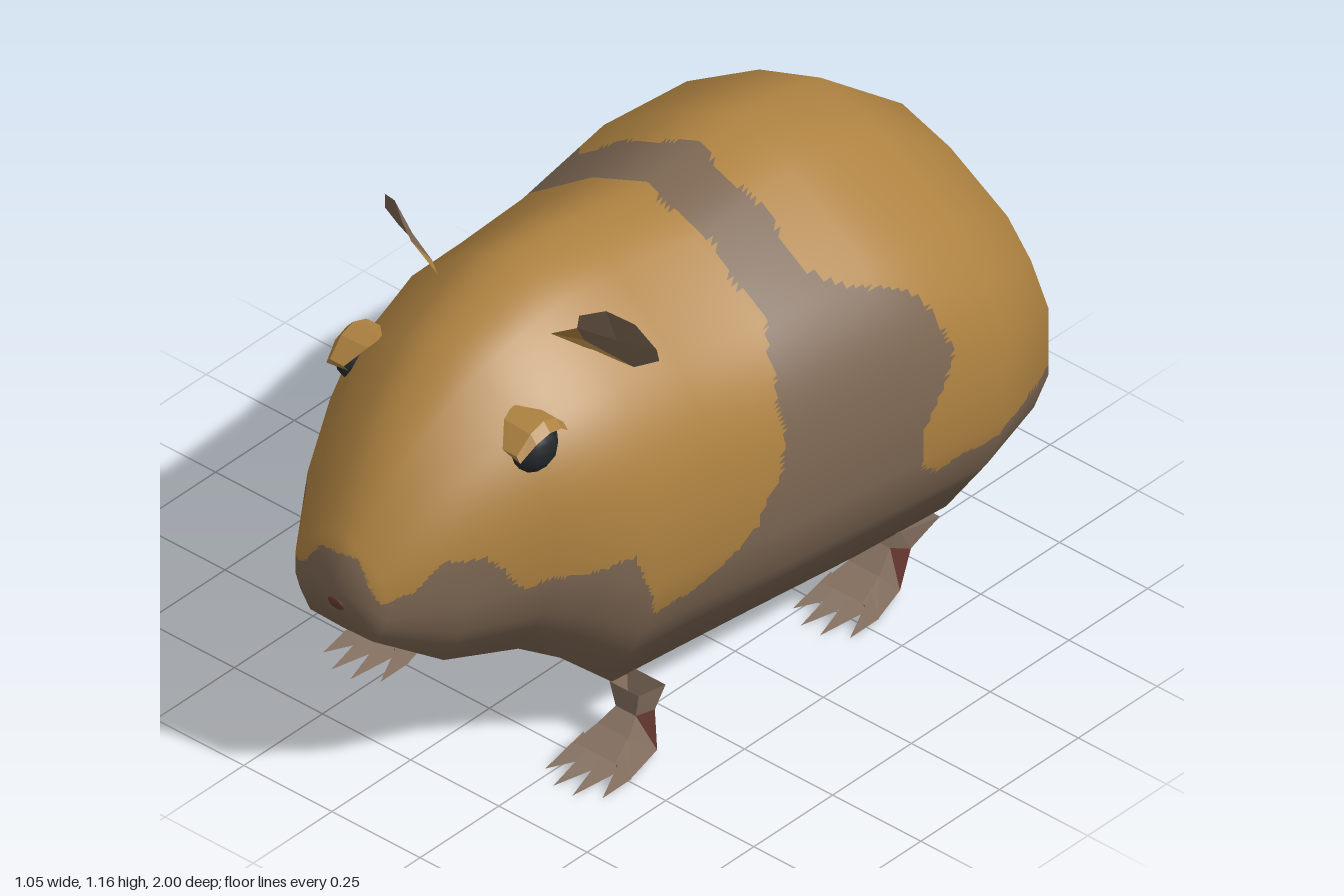
import * as THREE from 'three';

const material = (name, color, side = THREE.FrontSide) => {
  const m = new THREE.MeshStandardMaterial({ color, side });
  m.name = name;
  return m;
};

// piecewise linear lookup in a list of [key, value]
function lookup(table, k) {
  if (k <= table[0][0]) return table[0][1];
  for (let i = 1; i < table.length; i++) {
    const [k0, v0] = table[i - 1], [k1, v1] = table[i];
    if (k <= k1) return v0 + (v1 - v0) * (k - k0) / (k1 - k0);
  }
  return table[table.length - 1][1];
}

// body stations: z, top, bottom, half width
const STATIONS = [
  [1.0, 0.59, 0.59, 0], [0.97, 0.71, 0.47, 0.13], [0.82, 0.93, 0.37, 0.23],
  [0.65, 1.06, 0.335, 0.318], [0.55, 1.1, 0.27, 0.36], [0.42, 1.147, 0.15, 0.405],
  [0.25, 1.14, 0.14, 0.418], [0.02, 1.105, 0.145, 0.465], [-0.27, 1.135, 0.135, 0.505],
  [-0.55, 1.083, 0.125, 0.525], [-0.81, 0.875, 0.123, 0.415], [-0.95, 0.64, 0.21, 0.2],
  [-1.0, 0.38, 0.38, 0],
];
// half cross-section from spine to belly: width fraction, height fraction
const SECTION = [[0, 1], [0.33, 0.935], [0.72, 0.8], [0.88, 0.69], [1, 0.555],
  [1, 0.325], [0.9, 0.185], [0.68, 0.012], [0, 0]];
// coat pattern: belly line y(z), muzzle line y(|x|), back and front edge z(y) of the saddle band
const BELLY = [[-1, 0.37], [-0.8, 0.395], [-0.6, 0.41], [-0.45, 0.4], [-0.3, 0.385], [0.4, 0.385],
  [0.44, 0.48], [0.47, 0.56], [0.66, 0.57], [0.71, 0.56], [0.75, 0.63], [0.79, 0.67], [0.86, 0.67],
  [0.9, 0.63], [0.93, 0.6]];
const MUZZLE = [[0.05, 0.665], [0.085, 0.62], [0.115, 0.585], [0.15, 0.61]];
const BAND_BACK = [[0.38, -0.37], [0.42, -0.33], [0.47, -0.31], [0.53, -0.32], [0.6, -0.35],
  [0.68, -0.4], [0.77, -0.4], [0.85, -0.34], [0.91, -0.2], [0.95, -0.15], [1.15, -0.16]];
const BAND_FRONT = [[0.38, 0.32], [0.42, 0.22], [0.5, 0.14], [0.6, 0.09], [0.75, 0.06],
  [0.85, 0.03], [0.95, 0], [1.15, 0]];

function isPatch(p) {
  const wobble = 0.005 * Math.sin(p.z * 45 + p.x * 30) + 0.004 * Math.sin(p.y * 60);
  const line = p.z > 0.93 ? lookup(MUZZLE, Math.abs(p.x)) : lookup(BELLY, p.z);
  if (p.y < line + wobble) return true;
  return p.z > lookup(BAND_BACK, p.y) + wobble && p.z < lookup(BAND_FRONT, p.y) + wobble;
}

// smooth loft through the stations, finely divided so the coat colours split cleanly
function buildBody(fur, patch) {
  const ring = [...SECTION, ...SECTION.slice(1, -1).reverse().map(([x, y]) => [-x, y])];
  const n = ring.length, rows = STATIONS.length, N = 14;
  const pos = [], index = [];
  for (const [z, top, bottom, w] of STATIONS)
    for (const [x, y] of ring) pos.push(x * w, bottom + y * (top - bottom), z);
  for (let i = 0; i < rows - 1; i++)
    for (let j = 0; j < n; j++) {
      const a = i * n + j, c = i * n + (j + 1) % n;
      index.push(a, c, a + n, c, c + n, a + n);
    }
  const coarse = new THREE.BufferGeometry();
  coarse.setAttribute('position', new THREE.Float32BufferAttribute(pos, 3));
  coarse.setIndex(index);
  coarse.computeVertexNormals();
  const P = coarse.attributes.position, Q = coarse.attributes.normal;
  for (let j = 0; j < n; j++) {
    Q.setXYZ(j, 0, 0, 1);
    Q.setXYZ((rows - 1) * n + j, 0, 0, -1);
  }
  const blend = (attr, ids, u, v) => {
    const [a, b, c, d] = ids.map((k) => new THREE.Vector3().fromBufferAttribute(attr, k));
    return a.lerp(b, u).lerp(c.lerp(d, u), v);
  };
  const parts = [{ p: [], q: [] }, { p: [], q: [] }];
  for (let i = 0; i < rows - 1; i++)
    for (let j = 0; j < n; j++) {
      const a = i * n + j, c = i * n + (j + 1) % n, ids = [a, c, a + n, c + n];
      const grid = [];
      for (let v = 0; v <= N; v++)
        for (let u = 0; u <= N; u++)
          grid.push({ p: blend(P, ids, u / N, v / N), q: blend(Q, ids, u / N, v / N).normalize() });
      for (let v = 0; v < N; v++)
        for (let u = 0; u < N; u++) {
          const k = v * (N + 1) + u, l = k + N + 1;
          for (const tri of [[k, k + 1, l], [k + 1, l + 1, l]]) {
            const t = tri.map((m) => grid[m]);
            const mid = t[0].p.clone().add(t[1].p).add(t[2].p).divideScalar(3);
            const part = parts[isPatch(mid) ? 1 : 0];
            for (const s of t) { part.p.push(...s.p); part.q.push(...s.q); }
          }
        }
    }
  const body = new THREE.Group();
  body.name = 'body';
  parts.forEach((part, k) => {
    const g = new THREE.BufferGeometry();
    g.setAttribute('position', new THREE.Float32BufferAttribute(part.p, 3));
    g.setAttribute('normal', new THREE.Float32BufferAttribute(part.q, 3));
    const mesh = new THREE.Mesh(g, k ? patch : fur);
    mesh.name = k ? 'coatPatches' : 'coat';
    body.add(mesh);
  });
  return body;
}

// flat-faced mesh from polygons, each cut into a fan
function faces(name, polygons, mat) {
  const p = [];
  for (const poly of polygons)
    for (let i = 1; i < poly.length - 1; i++) p.push(...poly[0], ...poly[i], ...poly[i + 1]);
  const g = new THREE.BufferGeometry();
  g.setAttribute('position', new THREE.Float32BufferAttribute(p, 3));
  g.computeVertexNormals();
  const mesh = new THREE.Mesh(g, mat);
  mesh.name = name;
  return mesh;
}

// leg and paw: rings of front and back edges (z, y, z, y, half width), then four pointed toes
function buildLeg(name, x0, z0, rings, pawMat, soleMat) {
  const loops = rings.map(([zf, yf, zb, yb, w]) => [
    [x0 - w * 0.75, yf, zf + z0], [x0 + w * 0.75, yf, zf + z0],
    [x0 + w, yb, zb + z0], [x0 - w, yb, zb + z0]]);
  const upper = [], sole = [];
  for (let i = 0; i < 3; i++) {
    const a = loops[i], b = loops[i + 1];
    upper.push([a[0], b[0], b[1], a[1]]);
    (i > 0 ? sole : upper).push([a[2], b[2], b[3], a[3]]);
    // the heel colour wraps round the sides
    for (const [f, r] of [[1, 2], [0, 3]]) {
      upper.push([a[f], b[f], b[r]]);
      (i === 1 ? sole : upper).push([a[f], b[r], a[r]]);
    }
  }
  for (let t = 0; t < 4; t++) {
    const s = t - 1.5, x = x0 + s * 0.038, z = z0 + 0.49;
    const tip = [x0 + s * 0.054, 0.004, z0 + (t === 1 || t === 2 ? 0.62 : 0.585)];
    const l = [x - 0.022, 0.003, z], r = [x + 0.022, 0.003, z], top = [x, 0.062, z];
    upper.push([l, tip, top], [top, tip, r]);
    sole.push([l, r, tip]);
  }
  const leg = new THREE.Group();
  leg.name = name;
  leg.add(faces('paw', upper, pawMat), faces('sole', sole, soleMat));
  return leg;
}

const FRONT_LEG = [[0.425, 0.165, 0.355, 0.165, 0.055], [0.42, 0.105, 0.37, 0.1, 0.038],
  [0.46, 0.075, 0.385, 0.012, 0.058], [0.52, 0.05, 0.49, 0.004, 0.078]];
const HIND_LEG = [[0.38, 0.15, 0.27, 0.14, 0.055], [0.4, 0.115, 0.345, 0.09, 0.04],
  [0.45, 0.075, 0.4, 0.018, 0.058], [0.52, 0.05, 0.49, 0.004, 0.078]];

// arched brow over the eye: rows from the head outwards, then down to a thin lip
function buildEyelid(mat) {
  const arch = [-1, -0.5, 0, 0.5, 1].map((t) => {
    const rise = 1 - t * t, z = 0.63 + 0.08 * t;
    return [[0.225 - 0.042 * rise, 0.9 + 0.056 * rise, z],
      [0.265 + 0.005 * rise, 0.9 + 0.052 * rise, z],
      [0.275 + 0.014 * rise, 0.886 + 0.044 * rise, z]];
  });
  const plates = [];
  for (let i = 0; i < 4; i++)
    for (let j = 0; j < 2; j++)
      plates.push([arch[i][j], arch[i + 1][j], arch[i + 1][j + 1], arch[i][j + 1]]);
  for (const end of [arch[0], arch[4]]) plates.push([...end, [0.225, 0.88, 0.63 + (end[0][2] - 0.63) * 0.8]]);
  return faces('eyelid', plates, mat);
}

export function createModel() {
  const fur = material('golden fur', 0xae8241);
  const patch = material('brown grey fur', 0x7d6753);
  const furThin = material('golden fur thin', 0xae8241, THREE.DoubleSide);
  const earSkin = material('ear skin', 0x7d6753, THREE.DoubleSide);
  const pawSkin = material('paw skin', 0x857060, THREE.DoubleSide);
  const soleMat = material('dark red sole', 0x5f322b, THREE.DoubleSide);
  const eyeMat = material('eye black', 0x24282b);
  const noseMat = material('nose red', 0x6c3b32);

  const model = new THREE.Group();
  model.name = 'guineaPig';
  model.add(buildBody(fur, patch));

  // nose spot
  const nose = new THREE.Mesh(new THREE.SphereGeometry(1, 8, 6), noseMat);
  nose.scale.set(0.025, 0.018, 0.006);
  nose.position.set(0, 0.54, 0.986);
  nose.rotation.x = 0.27;
  nose.name = 'nose';
  model.add(nose);

  // paired parts, built on +x and mirrored
  for (const sign of [1, -1]) {
    const side = new THREE.Group();
    side.name = sign > 0 ? 'leftSide' : 'rightSide';
    side.scale.x = sign;

    const eye = new THREE.Mesh(new THREE.SphereGeometry(0.06, 12, 8), eyeMat);
    eye.name = 'eye';
    eye.position.set(0.248, 0.88, 0.635);
    eye.scale.set(0.74, 1, 1);

    // cupped ear fan with a furry inner corner
    const rim = [[0.215, 1.035, 0.44], [0.235, 1.1, 0.485], [0.25, 1.145, 0.495], [0.3, 1.165, 0.465],
      [0.355, 1.14, 0.435], [0.385, 1.07, 0.4], [0.37, 1.02, 0.375], [0.285, 0.955, 0.36]];
    const hollow = [0.29, 1.06, 0.42];
    const corner = [0.16, 1.05, 0.485];
    const ear = faces('ear', rim.map((p, i) => [hollow, p, rim[(i + 1) % rim.length]]), earSkin);
    const earBase = faces('earBase', [[corner, rim[1], rim[0]], [corner, rim[0], rim[7]]], furThin);

    side.add(eye, buildEyelid(furThin), ear, earBase,
      buildLeg('frontLeg', 0.315, 0, FRONT_LEG, pawSkin, soleMat),
      buildLeg('hindLeg', 0.32, -0.78, HIND_LEG, pawSkin, soleMat));
    model.add(side);
  }
  return model;
}
